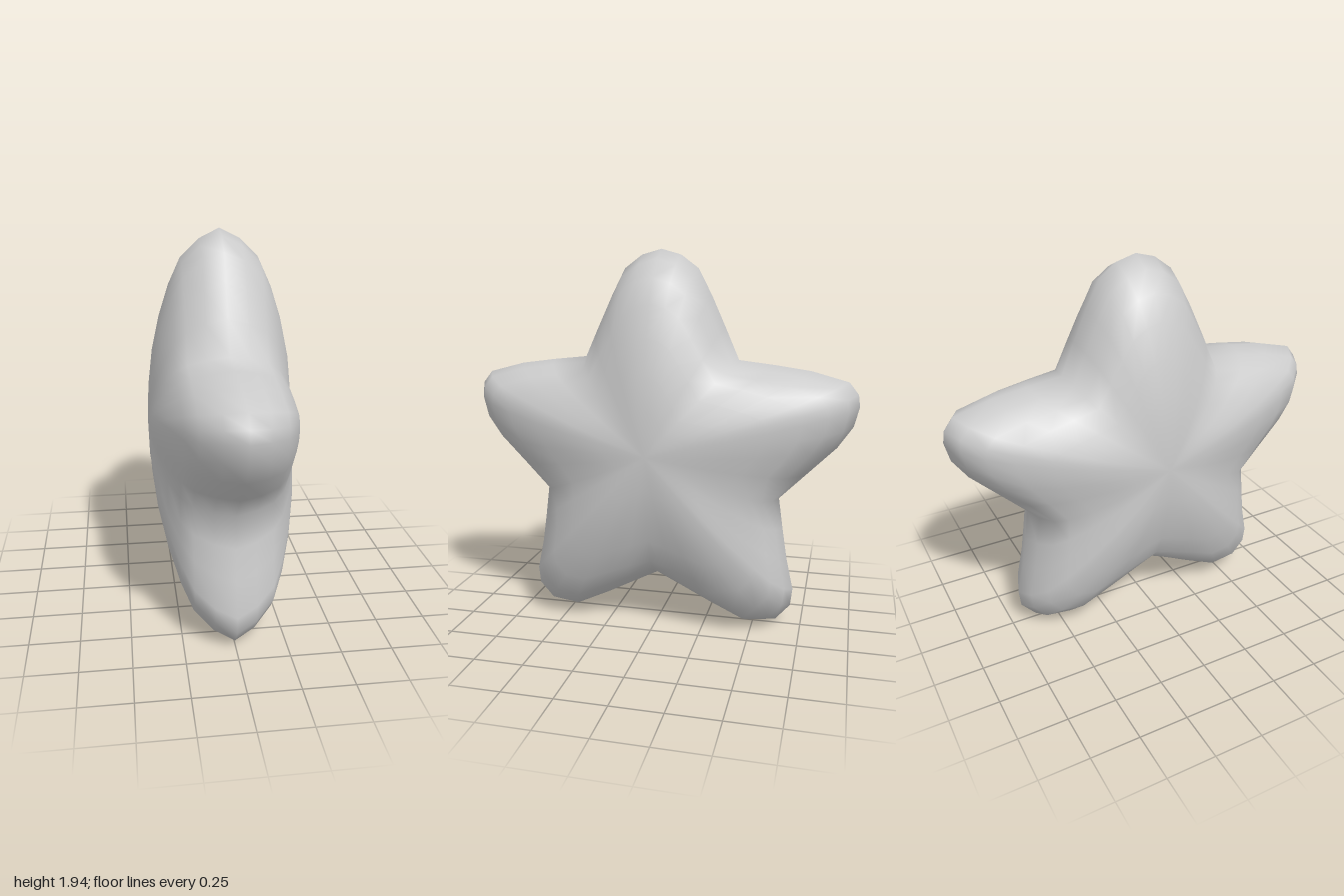
import * as THREE from 'three';

const CENTER_Y = 0.895; // middle of the outline
const CROWN_Y = 0.955; // thickest point of each face
const HALF_THICKNESS = 0.37;

// Half of the star outline as [z, y], from the top tip down to the bottom notch
const HALF = [
  [0, 1.94], [0.1, 1.912], [0.19, 1.845], [0.26, 1.71], [0.33, 1.555], [0.4, 1.395],
  [0.58, 1.375], [0.76, 1.35], [0.945, 1.3], [0.992, 1.24], [1, 1.18], [0.975, 1.08], [0.9, 0.97],
  [0.76, 0.83], [0.62, 0.69], [0.643, 0.53], [0.668, 0.37], [0.705, 0.2], [0.695, 0.11],
  [0.62, 0.025], [0.48, 0.005], [0.3, 0.09], [0.15, 0.168], [0, 0.245],
];

// Puffy cross-section: [half thickness, fraction of radius along an arm, and along a notch]
const PROFILE = [
  [0, 1, 1], [0.1, 0.95, 0.96], [0.192, 0.86, 0.89], [0.248, 0.737, 0.8],
  [0.3, 0.575, 0.63], [0.34, 0.395, 0.41], [0.36, 0.23, 0.24],
];

function starGeometry() {
  const mirrored = HALF.slice(1, -1).reverse().map(([z, y]) => [-z, y]);
  const outline = [...HALF, ...mirrored];
  const n = outline.length;

  // Rings from the +x face, over the rim, to the -x face
  const rings = [
    ...PROFILE.slice(1).reverse(),
    ...PROFILE.map(([x, arm, notch]) => [-x, arm, notch]),
  ];
  const positions = [];
  for (const [x, arm, notch] of rings) {
    for (const [z, y] of outline) {
      // Notches have steeper walls than the arm tips
      const r = Math.hypot(z, y - CENTER_Y);
      const f = THREE.MathUtils.lerp(arm, notch, THREE.MathUtils.clamp((1.045 - r) / 0.395, 0, 1) ** 2);
      positions.push(x, THREE.MathUtils.lerp(CROWN_Y, y, f), z * f);
    }
  }
  const pole = positions.length / 3;
  positions.push(HALF_THICKNESS, CROWN_Y, 0, -HALF_THICKNESS, CROWN_Y, 0);

  const index = [];
  const last = (rings.length - 1) * n;
  for (let i = 0; i < n; i++) {
    const j = (i + 1) % n;
    index.push(pole, i, j, pole + 1, last + j, last + i);
    for (let k = 0; k < rings.length - 1; k++) {
      const a = k * n + i, b = k * n + j;
      index.push(a, a + n, b, b, a + n, b + n);
    }
  }
  const geometry = new THREE.BufferGeometry();
  geometry.setAttribute('position', new THREE.Float32BufferAttribute(positions, 3));
  geometry.setIndex(index);
  geometry.computeVertexNormals();
  return geometry;
}

export function createModel() {
  const group = new THREE.Group();
  group.name = 'puffyStar';
  const star = new THREE.Mesh(starGeometry(), new THREE.MeshStandardMaterial({ color: 0xcccccc }));
  star.name = 'starBody';
  group.add(star);
  return group;
}
